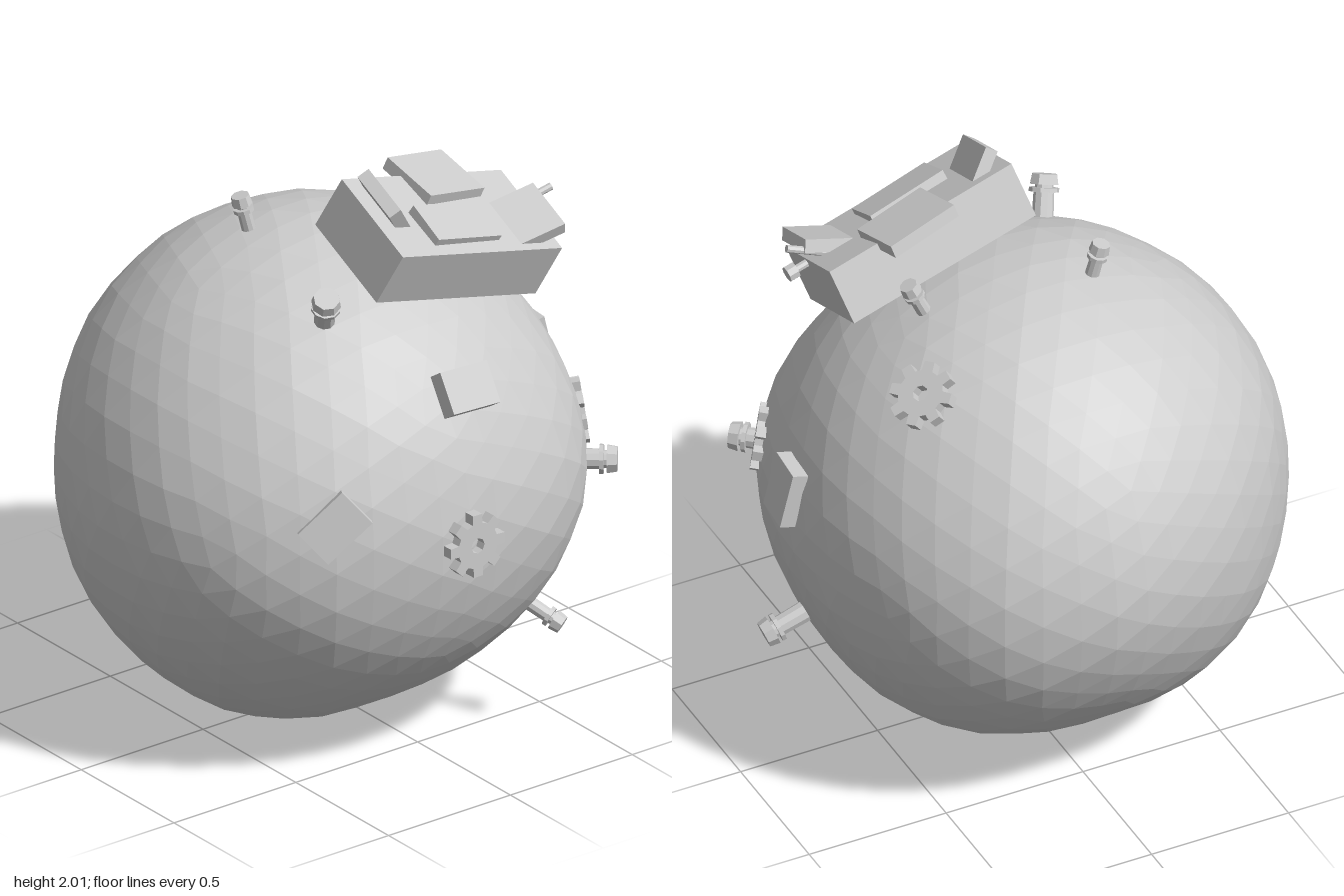
import * as THREE from 'three';

const CENTRE = new THREE.Vector3(-0.045, 0.88, -0.02);
const material = new THREE.MeshStandardMaterial({ color: 0xcccccc, flatShading: true });
const vec = (a) => new THREE.Vector3(...a);

function mesh(geometry, name) {
  const m = new THREE.Mesh(geometry, material);
  m.name = name;
  return m;
}

// Stand an object on the ball: its y axis points outward along dir, its x axis follows hint
function mount(object, dir, distance, hint) {
  const n = vec(dir).normalize();
  const x = hint ? vec(hint) : Math.abs(n.x) > 0.8 ? vec([0, 1, 0]) : vec([1, 0, 0]);
  x.addScaledVector(n, -x.dot(n)).normalize();
  const z = x.clone().cross(n);
  object.quaternion.setFromRotationMatrix(new THREE.Matrix4().makeBasis(x, n, z));
  object.position.copy(CENTRE).addScaledVector(n, distance);
  return object;
}

// Lumpy faceted ball: broad swellings and dents as [direction, height]
function makeBody() {
  const lumps = [
    [[0, 1, 0], 0.012], [[-0.23, -0.86, 0], 0.022], [[0.27, -0.8, 0], -0.025],
    [[0, -0.69, -0.42], -0.045], [[0, -0.36, -0.74], -0.035], [[0, -0.68, 0.47], -0.035],
    [[-0.46, 0, -0.7], -0.03], [[-0.75, 0, -0.4], -0.015], [[0.51, 0, -0.75], 0.04],
    [[-0.82, 0, 0.38], 0.025], [[-0.58, 0, 0.7], 0.03], [[0.6, 0, 0.65], 0.045],
    [[0.78, -0.34, 0], -0.015], [[0, 0, -1], 0.015],
  ].map(([d, h]) => [vec(d).normalize(), h]);
  const geometry = new THREE.IcosahedronGeometry(1, 7);
  const p = geometry.attributes.position;
  const v = new THREE.Vector3();
  for (let i = 0; i < p.count; i++) {
    v.fromBufferAttribute(p, i).normalize();
    let r = 0.866 + 0.003 * Math.sin(13 * v.x + 5 * v.y) * Math.sin(11 * v.z - 7 * v.y);
    for (const [d, h] of lumps) r += h * Math.exp(10 * (v.dot(d) - 1));
    v.multiplyScalar(r).add(CENTRE);
    p.setXYZ(i, v.x, v.y, v.z);
  }
  geometry.computeVertexNormals();
  return mesh(geometry, 'body');
}

// Eight-toothed cog with a small bore, outer face at y = 0
function makeGear() {
  const shape = new THREE.Shape();
  const teeth = 8;
  for (let i = 0; i < teeth; i++) {
    const a = (i / teeth) * Math.PI * 2;
    for (const [offset, r] of [[-0.25, 0.08], [-0.16, 0.112], [0.16, 0.112], [0.25, 0.08]]) {
      const x = r * Math.cos(a + offset), y = r * Math.sin(a + offset);
      if (i === 0 && offset === -0.25) shape.moveTo(x, y);
      else shape.lineTo(x, y);
    }
  }
  shape.closePath();
  const bore = new THREE.Path();
  bore.absarc(0, 0, 0.027, 0, Math.PI * 2, true);
  shape.holes.push(bore);
  const geometry = new THREE.ExtrudeGeometry(shape, { depth: 0.045, bevelEnabled: false, curveSegments: 4 });
  geometry.translate(0, 0, -0.045).rotateX(-Math.PI / 2);
  return mesh(geometry, 'gear');
}

// Bolt along y, top of the head at y = 0; s scales the thickness
function makeBolt(s) {
  const bolt = new THREE.Group();
  bolt.name = 'bolt';
  const parts = [
    ['boltShaft', 0.034, 0.037, 0.13, -0.12, 10], ['boltFlange', 0.05, 0.05, 0.014, -0.052, 10],
    ['boltNeck', 0.03, 0.03, 0.03, -0.04, 10], ['boltHead', 0.044, 0.05, 0.034, -0.017, 8],
  ];
  for (const [name, top, bottom, h, y, sides] of parts) {
    const part = mesh(new THREE.CylinderGeometry(top * s, bottom * s, h, sides), name);
    part.position.y = y;
    bolt.add(part);
  }
  return bolt;
}

// Long crate on top with loose panels, a lever and a side knob
function makeCrate() {
  const crate = new THREE.Group();
  crate.name = 'crate';
  crate.add(mesh(new THREE.BoxGeometry(0.71, 0.2, 0.38), 'crateBox'));
  const panels = [
    ['middlePanel', [0.29, 0.035, 0.16], [-0.035, 0.11, 0.06], [0.05, 0.03, -0.02]],
    ['backPanel', [0.26, 0.045, 0.22], [0.04, 0.1, -0.17], [-0.12, 0.1, 0]],
    ['leftEndPanel', [0.19, 0.045, 0.2], [-0.255, 0.1, -0.05], [0, 0, -0.72]],
    ['rightEndPanel', [0.19, 0.045, 0.2], [0.27, 0.115, 0.06], [0, 0, 0.5]],
  ];
  for (const [name, size, position, rotation] of panels) {
    const panel = mesh(new THREE.BoxGeometry(...size), name);
    panel.position.set(...position);
    panel.rotation.set(...rotation);
    crate.add(panel);
  }
  const lever = mesh(new THREE.CylinderGeometry(0.013, 0.013, 0.17, 8), 'lever');
  lever.position.set(0.34, 0.13, -0.02);
  lever.rotation.z = -0.95;
  crate.add(lever);
  for (const [name, r, h, x] of [['knobShaft', 0.014, 0.1, 0.37], ['knobHead', 0.028, 0.035, 0.415]]) {
    const part = mesh(new THREE.CylinderGeometry(r, r, h, 8), name);
    part.position.set(x, 0.08, 0.03);
    part.rotation.z = -Math.PI / 2;
    crate.add(part);
  }
  return crate;
}

export function createModel() {
  const model = new THREE.Group();
  model.name = 'scrapBall';
  model.add(makeBody());

  model.add(mount(makeCrate(), [0.252, 0.861, 0.362], 0.967, [0.96, -0.27, -0.064]));

  // Cogs: direction, distance of the outer face
  for (const [dir, distance] of [
    [[0, 0.02, 0.88], 0.905],
    [[0.514, 0.69, -0.245], 0.912],
    [[0.765, 0.125, 0.47], 0.908],
  ]) model.add(mount(makeGear(), dir, distance));

  // Bolts: direction, thickness
  for (const [dir, s] of [
    [[-0.275, 0.787, 0.445], 1],
    [[-0.21, 0.96, -0.1], 0.7],
    [[0.41, 0.89, 0.055], 0.7],
    [[0.75, 0.01, 0.63], 1],
    [[0.463, -0.46, 0.73], 0.7],
    [[0.91, -0.36, 0.075], 1],
  ]) model.add(mount(makeBolt(s), dir, s === 1 ? 1.005 : 0.995));

  // Small plates: direction, distance, long-edge direction
  for (const [dir, distance, edge] of [
    [[0.08, 0.5, 0.735], 0.89, [1, -0.04, 0]],
    [[-0.46, 0.16, 0.735], 0.882, [0.82, 0.57, 0]],
    [[0.855, 0.205, 0.07], 0.882, [0, 1, 0]],
  ]) model.add(mount(mesh(new THREE.BoxGeometry(0.2, 0.055, 0.145), 'plate'), dir, distance, edge));

  return model;
}
